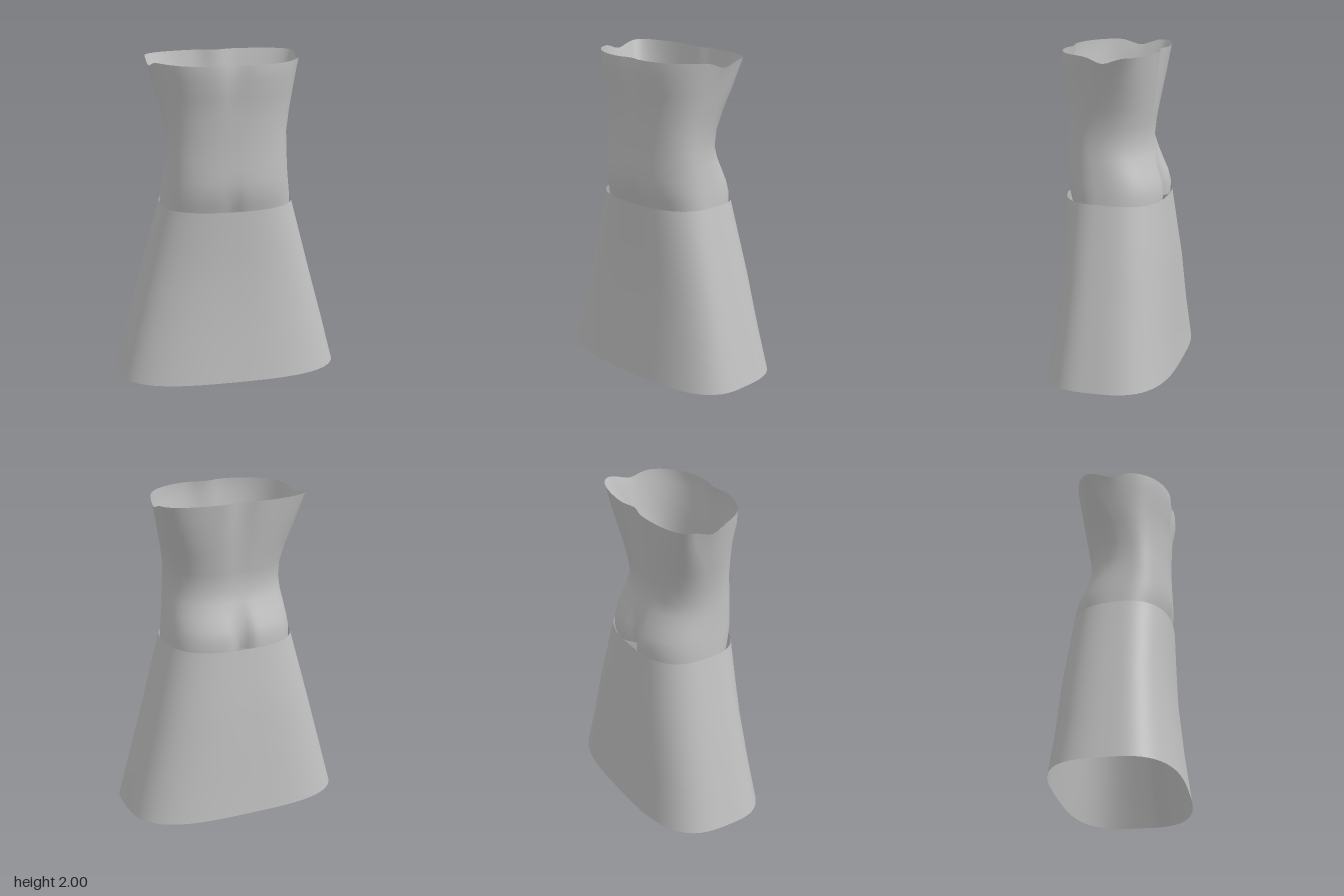
import * as THREE from 'three';

const SEGMENTS = 128;

// Lofts an open shell through rounded cross-sections, listed from bottom to top.
// w: half width, f/b: front and back z, m: z of the widest point,
// ef/eb: squareness of front and back, df/db: depth of centre creases,
// c: crease half width, armDip/backDip: how far the section sags at the sides and back.
function loft(sections) {
  const positions = [];
  const index = [];
  for (const s of sections) {
    const { y, w, f, b, m, ef, eb, df = 0, db = 0, c = 0.07, armDip = 0, backDip = 0 } = s;
    for (let i = 0; i < SEGMENTS; i++) {
      const t = (i / SEGMENTS) * Math.PI * 2;
      const co = Math.cos(t), si = Math.sin(t);
      const front = si >= 0;
      const p = 2 / (front ? ef : eb);
      const x = Math.sign(co) * w * Math.abs(co) ** p;
      const k = Math.abs(si) ** p;
      const crease = Math.exp(-((x / c) ** 2));
      const z = front ? m + (f - m) * k - df * crease : m + (b - m) * k + db * crease;
      const side = Math.abs(x) > w * 0.6 ? Math.exp(-((z / 0.08) ** 2)) : 0;
      positions.push(x, y - armDip * side - (front ? 0 : backDip * k), z);
    }
  }
  for (let j = 0; j < sections.length - 1; j++) {
    for (let i = 0; i < SEGMENTS; i++) {
      const a = j * SEGMENTS + i;
      const n = j * SEGMENTS + (i + 1) % SEGMENTS;
      index.push(a, a + SEGMENTS, n, n, a + SEGMENTS, n + SEGMENTS);
    }
  }
  const geometry = new THREE.BufferGeometry();
  geometry.setAttribute('position', new THREE.Float32BufferAttribute(positions, 3));
  geometry.setIndex(index);
  geometry.computeVertexNormals();
  return geometry;
}

export function createModel() {
  const group = new THREE.Group();
  group.name = 'dress';
  const cloth = new THREE.MeshStandardMaterial({ color: 0xbfbfbf, side: THREE.DoubleSide });
  cloth.name = 'grey cloth';

  // Flared skirt, open at hem and waist
  const skirt = new THREE.Mesh(loft([
    { y: 0, w: 0.7, f: 0.4, b: -0.4, m: 0.04, ef: 2.9, eb: 3.2 },
    { y: 0.3, w: 0.625, f: 0.362, b: -0.372, m: 0.04, ef: 2.8, eb: 3 },
    { y: 0.62, w: 0.54, f: 0.333, b: -0.35, m: 0.04, ef: 2.7, eb: 2.9 },
    { y: 0.85, w: 0.48, f: 0.328, b: -0.322, m: 0.04, ef: 2.6, eb: 2.8 },
    { y: 1.1, w: 0.415, f: 0.325, b: -0.295, m: 0.04, ef: 2.5, eb: 2.7, backDip: 0.015 },
  ]), cloth);
  skirt.name = 'skirt';

  // Fitted bodice: hips with a back crease, narrow waist, wide scooped rim
  const bodice = new THREE.Mesh(loft([
    { y: 1.07, w: 0.408, f: 0.285, b: -0.285, m: 0.04, ef: 2.5, eb: 2.6, df: 0.02, db: 0.06, c: 0.05 },
    { y: 1.14, w: 0.403, f: 0.305, b: -0.288, m: 0.04, ef: 2.5, eb: 2.6, df: 0.015, db: 0.055, c: 0.05 },
    { y: 1.21, w: 0.394, f: 0.318, b: -0.27, m: 0.05, ef: 2.5, eb: 2.6, df: 0.008, db: 0.035, c: 0.05 },
    { y: 1.28, w: 0.385, f: 0.32, b: -0.24, m: 0.06, ef: 2.5, eb: 2.5, db: 0.012, c: 0.06 },
    { y: 1.36, w: 0.376, f: 0.317, b: -0.211, m: 0.09, ef: 2.4, eb: 2.4 },
    { y: 1.44, w: 0.371, f: 0.313, b: -0.185, m: 0.1, ef: 2.4, eb: 2.4 },
    { y: 1.55, w: 0.371, f: 0.312, b: -0.198, m: 0.08, ef: 2.4, eb: 2.4, db: 0.006 },
    { y: 1.68, w: 0.395, f: 0.316, b: -0.218, m: 0.03, ef: 2.5, eb: 2.5, db: 0.012 },
    { y: 1.8, w: 0.424, f: 0.323, b: -0.236, m: -0.03, ef: 2.6, eb: 2.6, df: 0.005, db: 0.018 },
    { y: 1.91, w: 0.447, f: 0.345, b: -0.252, m: -0.08, ef: 2.7, eb: 2.6, df: 0.018, db: 0.024, armDip: 0.015 },
    { y: 2, w: 0.47, f: 0.34, b: -0.265, m: -0.11, ef: 2.7, eb: 2.6, df: 0.025, db: 0.03, armDip: 0.038 },
  ]), cloth);
  bodice.name = 'bodice';

  group.add(skirt, bodice);
  return group;
}
